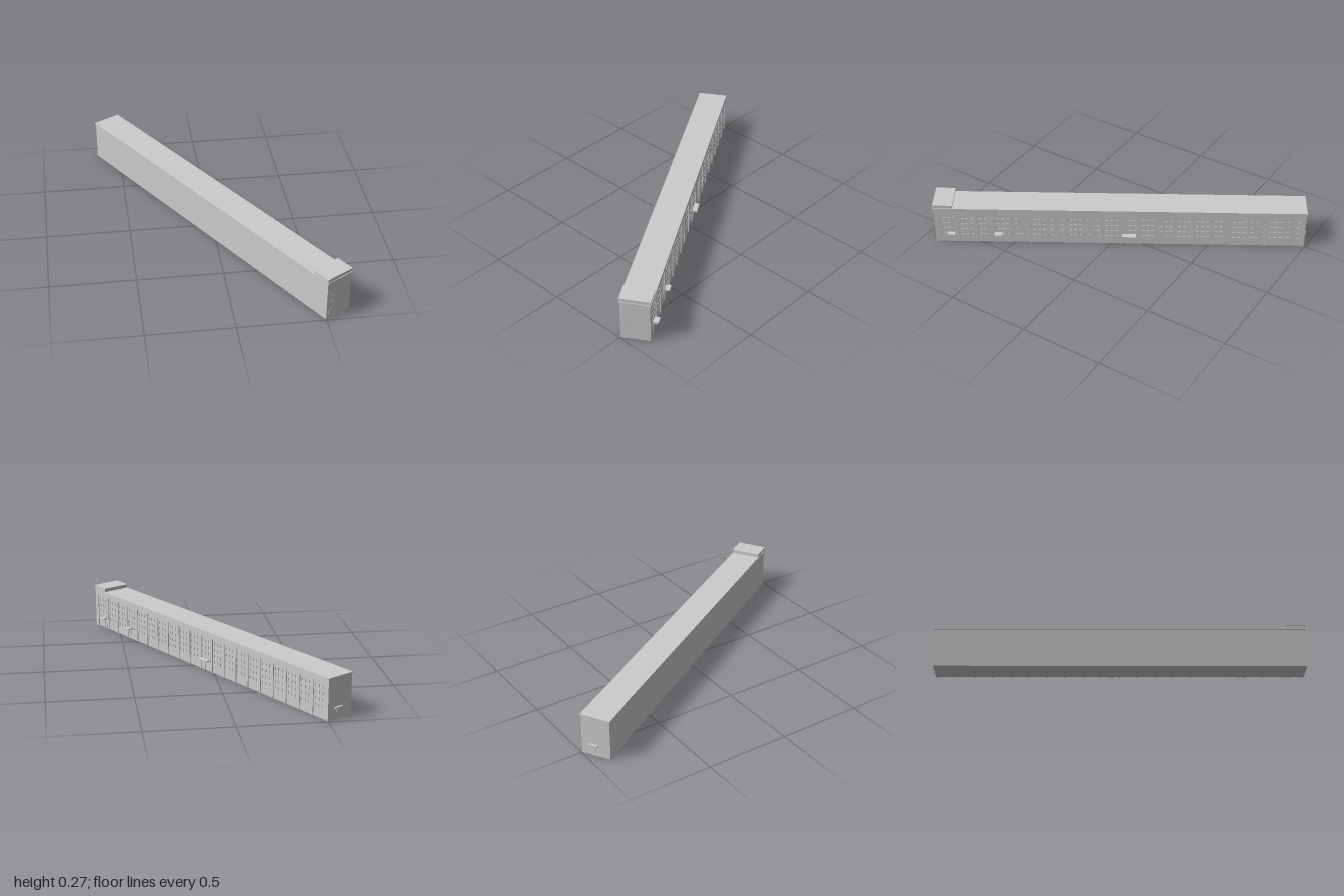
import * as THREE from 'three';

const grey = new THREE.MeshStandardMaterial({ color: 0xcccccc, flatShading: true });

// Box given by its min and max corners
function block(parent, name, [x0, y0, z0], [x1, y1, z1]) {
  const mesh = new THREE.Mesh(new THREE.BoxGeometry(x1 - x0, y1 - y0, z1 - z0), grey);
  mesh.position.set((x0 + x1) / 2, (y0 + y1) / 2, (z0 + z1) / 2);
  mesh.name = name;
  parent.add(mesh);
  return mesh;
}

function rect(path, x0, y0, x1, y1) {
  path.moveTo(x0, y0);
  path.lineTo(x1, y0);
  path.lineTo(x1, y1);
  path.lineTo(x0, y1);
  path.closePath();
  return path;
}

export function createModel() {
  const group = new THREE.Group();
  group.name = 'longBuilding';
  const building = new THREE.Group();
  building.name = 'building';
  building.rotation.y = 0.541;
  group.add(building);

  const W = 0.086, L = 1.108, H = 0.24;
  const core = 0.077, pane = 0.081;
  const bays = 20, start = -1.092, pitch = 0.1085, end = start + bays * pitch;

  // Main mass, with plain end and back walls
  block(building, 'mainBody', [-W, 0, -L], [core, H, L]);
  block(building, 'mainCornice', [-W - 0.004, 0.239, -L - 0.004], [W + 0.004, 0.247, L + 0.004]);

  // Raised block at the front end
  block(building, 'towerWall', [-W, 0.247, 0.997], [W, 0.265, L]);
  block(building, 'towerCap', [-W - 0.004, 0.264, 0.993], [W + 0.004, 0.271, L + 0.004]);

  // Recessed window wall: four rows of three windows in every bay
  const wall = rect(new THREE.Shape(), -end, 0, -start, 0.212);
  for (let i = 0; i < bays; i++) {
    for (let c = 0; c < 3; c++) {
      for (let r = 0; r < 4; r++) {
        const z = start + (i + 0.5) * pitch + (c - 1) * 0.029;
        const y = 0.058 + r * 0.038;
        wall.holes.push(rect(new THREE.Path(), -z - 0.008, y, -z + 0.008, y + 0.02));
      }
    }
  }
  const windowWall = new THREE.Mesh(
    new THREE.ExtrudeGeometry(wall, { depth: pane - core, bevelEnabled: false }), grey);
  windowWall.rotation.y = Math.PI / 2;
  windowWall.position.x = core;
  windowWall.name = 'windowWall';
  building.add(windowWall);

  // Projecting frame: corner strips, top band and pilasters
  block(building, 'facadeBand', [core, 0.21, -L], [W, H, L]);
  block(building, 'rearCornerStrip', [core, 0, -L], [W, 0.21, start]);
  block(building, 'frontCornerStrip', [core, 0, end], [W, 0.21, L]);
  for (let i = 1; i < bays; i++) {
    const z = start + i * pitch;
    block(building, 'pilaster', [pane, 0, z - 0.006], [W, 0.21, z + 0.006]);
  }

  // Entrances on the long facade: canopy over a pair of door leaves
  for (const [z, half] of [[-0.056, 0.042], [0.728, 0.024], [1.01, 0.024]]) {
    block(building, 'canopy', [pane, 0.064, z - half], [0.112, 0.071, z + half]);
    for (const s of [-1, 1]) {
      const zc = z + s * 0.011;
      block(building, 'doorLeaf', [pane, 0, zc - 0.009], [pane + 0.002, 0.056, zc + 0.009]);
    }
  }

  // Rear end entrance
  block(building, 'rearCanopy', [-0.016, 0.064, -L - 0.012], [0.042, 0.071, -L]);
  block(building, 'rearDoor', [0, 0, -L - 0.002], [0.026, 0.056, -L]);

  // Front end: door and small windows above it
  block(building, 'frontDoor', [-0.07, 0, L], [-0.046, 0.06, L + 0.002]);
  for (const y of [0.1, 0.14, 0.18]) {
    for (const x of [-0.07, -0.046]) {
      block(building, 'endWindow', [x - 0.006, y, L], [x + 0.006, y + 0.015, L + 0.001]);
    }
  }
  return group;
}
